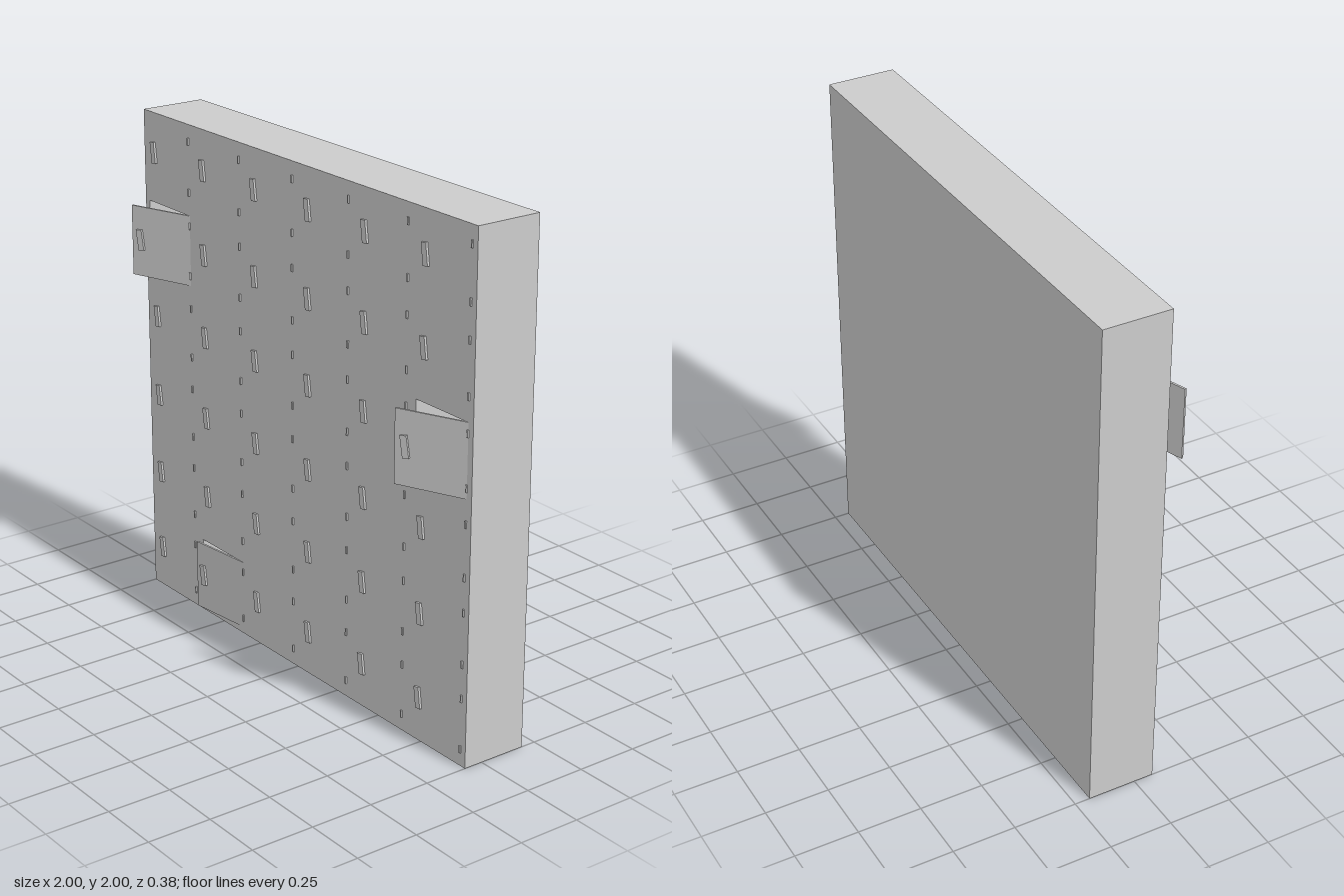
import * as THREE from 'three';

const N = 6;              // lockers per side
const CELL = 2 / N;
const DOOR = 0.281;       // door and opening size
const THICK = 0.008;
const FRONT = 0.077;
const BACK = -0.19;
const BACK_PANEL = 0.027;

// Doors that stand ajar: "column,row" -> opening angle in degrees
const AJAR = { '0,4': 19.5, '5,3': 23.2, '1,0': 6.4 };

const material = new THREE.MeshStandardMaterial({ color: 0xcccccc, flatShading: true });

function box(name, w, h, d, x, y, z, parent) {
  const mesh = new THREE.Mesh(new THREE.BoxGeometry(w, h, d), material);
  mesh.name = name;
  mesh.position.set(x, y, z);
  parent.add(mesh);
  return mesh;
}

function rectangle(target, x, y, w, h) {
  target.moveTo(x, y);
  target.lineTo(x + w, y);
  target.lineTo(x + w, y + h);
  target.lineTo(x, y + h);
  target.closePath();
  return target;
}

// Door group with its origin on the hinge line at the front surface
function makeDoor(angle) {
  const door = new THREE.Group();
  door.name = 'door';
  box('doorPanel', DOOR, DOOR, THICK, -DOOR / 2, 0, -THICK / 2, door);
  const handle = box('handle', 0.026, 0.083, 0.01, 0.042 - DOOR, 0.007, 0.004, door);
  handle.rotation.z = THREE.MathUtils.degToRad(8);
  door.rotation.y = THREE.MathUtils.degToRad(angle);
  return door;
}

export function createModel() {
  const model = new THREE.Group();
  model.name = 'lockerWall';

  // Grid of compartments, open at the front
  const outline = rectangle(new THREE.Shape(), -1, 0, 2, 2);
  const margin = (CELL - DOOR) / 2;
  for (let c = 0; c < N; c++) {
    for (let r = 0; r < N; r++) {
      outline.holes.push(rectangle(new THREE.Path(), -1 + c * CELL + margin, r * CELL + margin, DOOR, DOOR));
    }
  }
  const depth = FRONT - BACK - BACK_PANEL;
  const frame = new THREE.Mesh(
    new THREE.ExtrudeGeometry(outline, { depth, bevelEnabled: false }), material);
  frame.name = 'compartmentFrame';
  frame.position.z = BACK + BACK_PANEL;
  model.add(frame);
  box('backPanel', 2, 2, BACK_PANEL, 0, 1, BACK + BACK_PANEL / 2, model);

  // Doors with handles, and two hinges for each
  for (let c = 0; c < N; c++) {
    for (let r = 0; r < N; r++) {
      const hingeX = -1 + (c + 1) * CELL - margin;
      const midY = (r + 0.5) * CELL;
      const door = makeDoor(AJAR[`${c},${r}`] ?? 0);
      door.position.set(hingeX, midY, FRONT);
      model.add(door);
      for (const side of [-1, 1]) {
        box('hinge', 0.007, 0.028, 0.012, hingeX, midY + side * 0.1, FRONT, model);
      }
    }
  }
  return model;
}
